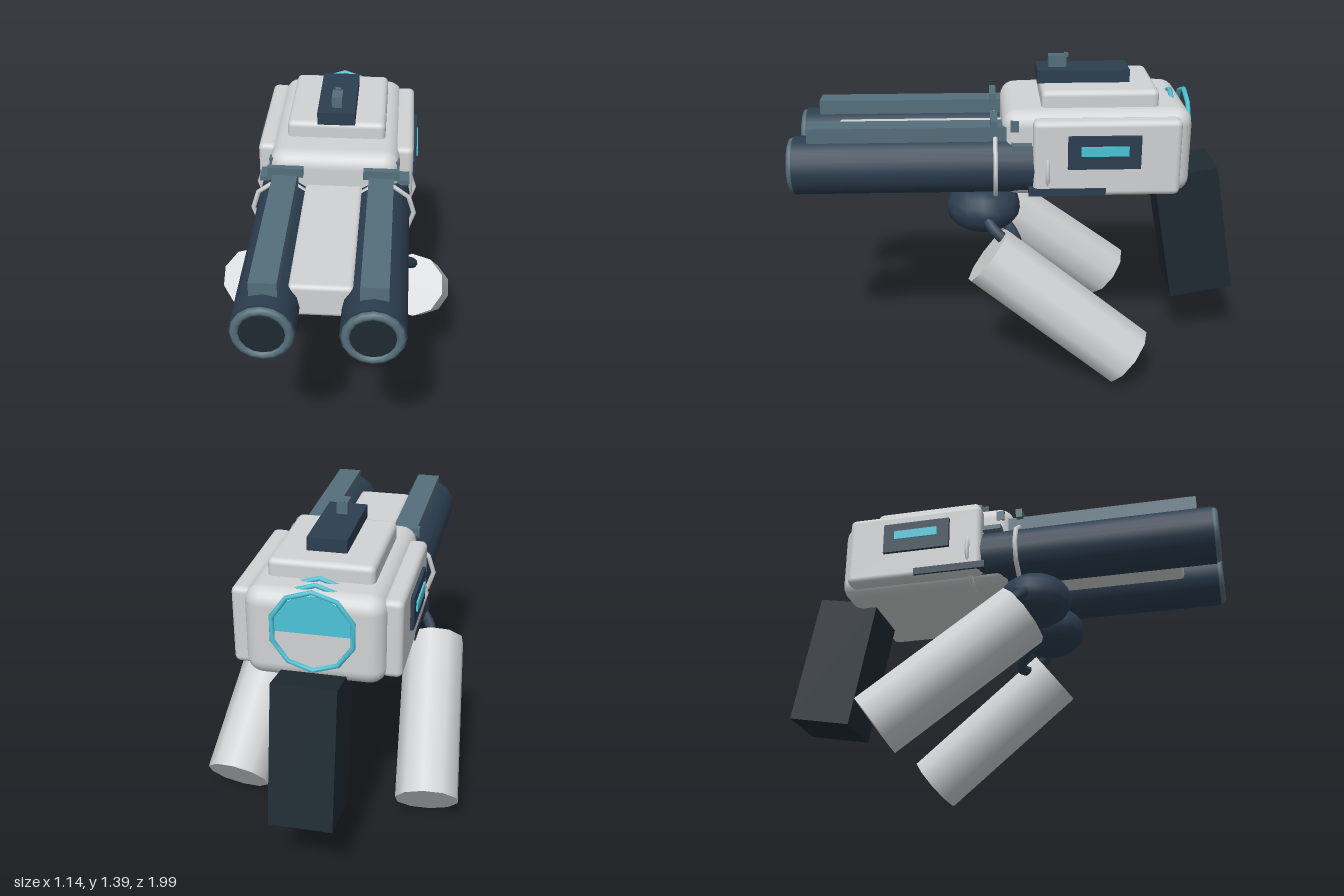
import * as THREE from 'three';
import { RoundedBoxGeometry } from 'three/addons/geometries/RoundedBoxGeometry.js';

const material = (name, color, side = THREE.FrontSide) => {
  const m = new THREE.MeshStandardMaterial({ color, side });
  m.name = name;
  return m;
};

export function createModel() {
  const shell = material('light grey shell', 0xd0d2d3);
  const navy = material('navy', 0x2c3e50);
  const black = material('near black', 0x1f2a32);
  const steel = material('blue steel', 0x546e7a);
  const cyan = material('cyan', 0x4dc4d8);
  const root = new THREE.Group();
  root.name = 'doubleBarrelBlaster';

  const add = (name, geometry, mat, x, y, z, parent = root) => {
    const mesh = new THREE.Mesh(geometry, mat);
    mesh.name = name;
    mesh.position.set(x, y, z);
    parent.add(mesh);
    return mesh;
  };
  // Boxes are given by their min and max corners; r > 0 rounds the edges
  const box = (name, mat, [x0, x1], [y0, y1], [z0, z1], r = 0) => {
    const s = [x1 - x0, y1 - y0, z1 - z0];
    const g = r ? new RoundedBoxGeometry(...s, 3, r) : new THREE.BoxGeometry(...s);
    return add(name, g, mat, (x0 + x1) / 2, (y0 + y1) / 2, (z0 + z1) / 2);
  };
  const sideBox = (name, mat, s, [x0, x1], y, z, r) =>
    box(name, mat, s > 0 ? [x0, x1] : [-x1, -x0], y, z, r);
  const tube = (name, mat, points, radius) => {
    const curve = new THREE.CatmullRomCurve3(points.map((p) => new THREE.Vector3(...p)));
    return add(name, new THREE.TubeGeometry(curve, 12, radius, 8), mat, 0, 0, 0);
  };

  // Receiver, top cover and the bridge between the barrels
  box('receiver', shell, [-0.285, 0.285], [0.825, 1.21], [-0.737, 0.08], 0.07);
  box('topCover', shell, [-0.217, 0.217], [1.17, 1.282], [-0.595, -0.09], 0.025);
  box('barrelBridge', shell, [-0.127, 0.127], [0.92, 1.065], [0, 0.82], 0.02);

  // Sight on top
  box('sightBase', navy, [-0.083, 0.083], [1.28, 1.338], [-0.482, -0.078]);
  box('sight', steel, [-0.023, 0.023], [1.335, 1.388], [-0.21, -0.13]);
  box('sightPost', steel, [-0.012, 0.012], [1.38, 1.395], [-0.218, -0.2]);

  // Raked rear grip
  const grip = add('grip', new THREE.BoxGeometry(0.266, 0.604, 0.288), black, 0, 0.573, -0.8);
  grip.rotation.x = 0.178;

  // Glowing rear coils and half-disc vent
  for (const z of [-0.61, -0.675, -0.74]) {
    add('rearCoil', new THREE.TorusGeometry(0.17, 0.011, 6, 10), cyan, 0, 1.055, z)
      .rotation.z = Math.PI / 10;
  }
  const vent = add('rearVent', new THREE.CircleGeometry(0.165, 10, 0, Math.PI), cyan, 0, 1.045, -0.74);
  vent.rotation.y = Math.PI;

  for (const s of [1, -1]) {
    const cx = 0.208 * s, cy = 0.963;

    // Barrel with muzzle
    add('barrel', new THREE.CylinderGeometry(0.127, 0.127, 1.33, 16), navy, cx, cy, 0.31)
      .rotation.x = Math.PI / 2;
    add('muzzleRing', new THREE.TorusGeometry(0.104, 0.018, 8, 16), steel, cx, cy, 0.98);
    add('bore', new THREE.CylinderGeometry(0.09, 0.09, 0.02, 16), black, cx, cy, 0.977)
      .rotation.x = Math.PI / 2;

    // Barrel rail and its clamps
    sideBox('barrelRail', steel, s, [0.154, 0.262], [1.06, 1.14], [0.05, 0.91]);
    sideBox('frontRailClamp', steel, s, [0.13, 0.285], [1.13, 1.172], [0.1, 0.13]);
    sideBox('rearRailClamp', steel, s, [0.13, 0.285], [1.125, 1.172], [0.01, 0.045]);
    sideBox('barrelLug', steel, s, [0.22, 0.33], [1.055, 1.077], [-0.045, 0.04]);

    // Retaining rings
    for (const z of [0.11, -0.11]) {
      add('barrelRing', new THREE.TorusGeometry(0.136, 0.011, 6, 10), shell, 0.218 * s, 0.961, z);
    }

    // Side panel with its light
    sideBox('sidePanel', shell, s, [0.26, 0.345], [0.85, 1.185], [-0.68, -0.05], 0.025);
    sideBox('lightFrame', navy, s, [0.33, 0.36], [0.98, 1.125], [-0.505, -0.195]);
    sideBox('sideLight', cyan, s, [0.36, 0.368], [1.04, 1.082], [-0.452, -0.25]);
    sideBox('lowerStrip', navy, s, [0.3, 0.348], [0.857, 0.89], [-0.36, -0.03]);

    // Shoulder ball
    add('shoulderBall', new THREE.SphereGeometry(0.165, 14, 10), navy, 0.17 * s, 0.75, 0.163)
      .scale.y = 0.7;

    // Leg, a ten-sided canister pointing down and back
    const top = new THREE.Vector3(0.364 * s, 0.592, 0.147);
    const foot = new THREE.Vector3(0.436 * s, 0.118, -0.466);
    const dir = top.clone().sub(foot);
    const leg = add('leg', new THREE.CylinderGeometry(0.142, 0.142, dir.length(), 10), shell, 0, 0, 0);
    leg.position.copy(top).add(foot).multiplyScalar(0.5);
    leg.quaternion.setFromUnitVectors(new THREE.Vector3(0, 1, 0), dir.normalize());

    // Struts between ball and leg
    tube('outerStrut', navy, [[0.28 * s, 0.76, 0.17], [0.34 * s, 0.7, 0.12], [0.37 * s, 0.65, 0.06]], 0.025);
    tube('innerStrut', navy,
      [[0.1 * s, 0.68, 0.12], [0.12 * s, 0.62, 0.05], [0.19 * s, 0.587, 0.02], [0.28 * s, 0.6, 0.04]], 0.025);
  }

  return root;
}
